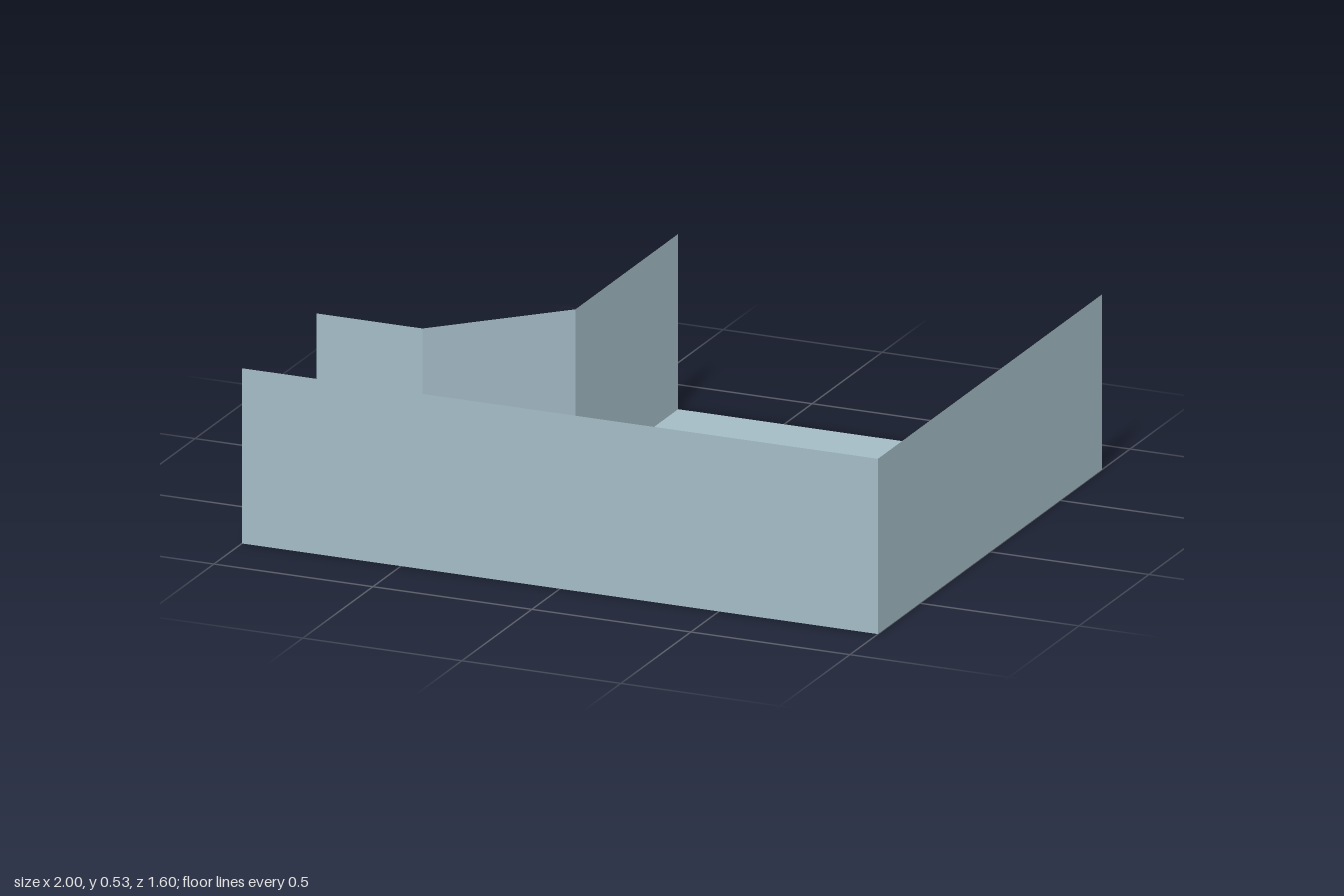
import * as THREE from 'three';

const HEIGHT = 0.533;

export function createModel() {
  const model = new THREE.Group();
  model.name = 'cornerChannel';
  const paleBlue = new THREE.MeshStandardMaterial({ color: 0xa3bbc5, side: THREE.DoubleSide });
  paleBlue.name = 'paleBlueGrey';

  // Plan outlines as [x, z]; both ends of the channel stay open
  const outer = [[-1, 0.8], [1, 0.8], [1, -0.8]];
  const inner = [[-0.333, -0.8], [-0.333, -0.067], [-0.667, 0.267], [-1, 0.267]];

  // Floor sheet
  const outline = new THREE.Shape([...outer, ...inner].map(([x, z]) => new THREE.Vector2(x, -z)));
  const floor = new THREE.Mesh(new THREE.ShapeGeometry(outline).rotateX(-Math.PI / 2), paleBlue);
  floor.name = 'floor';
  model.add(floor);

  // Upright sheets along each outline, facing outward
  function addWalls(points, names) {
    names.forEach((name, i) => {
      const [ax, az] = points[i];
      const [bx, bz] = points[i + 1];
      const length = Math.hypot(bx - ax, bz - az);
      const wall = new THREE.Mesh(new THREE.PlaneGeometry(length, HEIGHT), paleBlue);
      wall.position.set((ax + bx) / 2, HEIGHT / 2, (az + bz) / 2);
      wall.rotation.y = Math.atan2(az - bz, bx - ax);
      wall.name = name;
      model.add(wall);
    });
  }
  addWalls(outer, ['frontWall', 'leftWall']);
  addWalls(inner, ['innerSideWall', 'innerDiagonalWall', 'innerBackWall']);

  return model;
}
